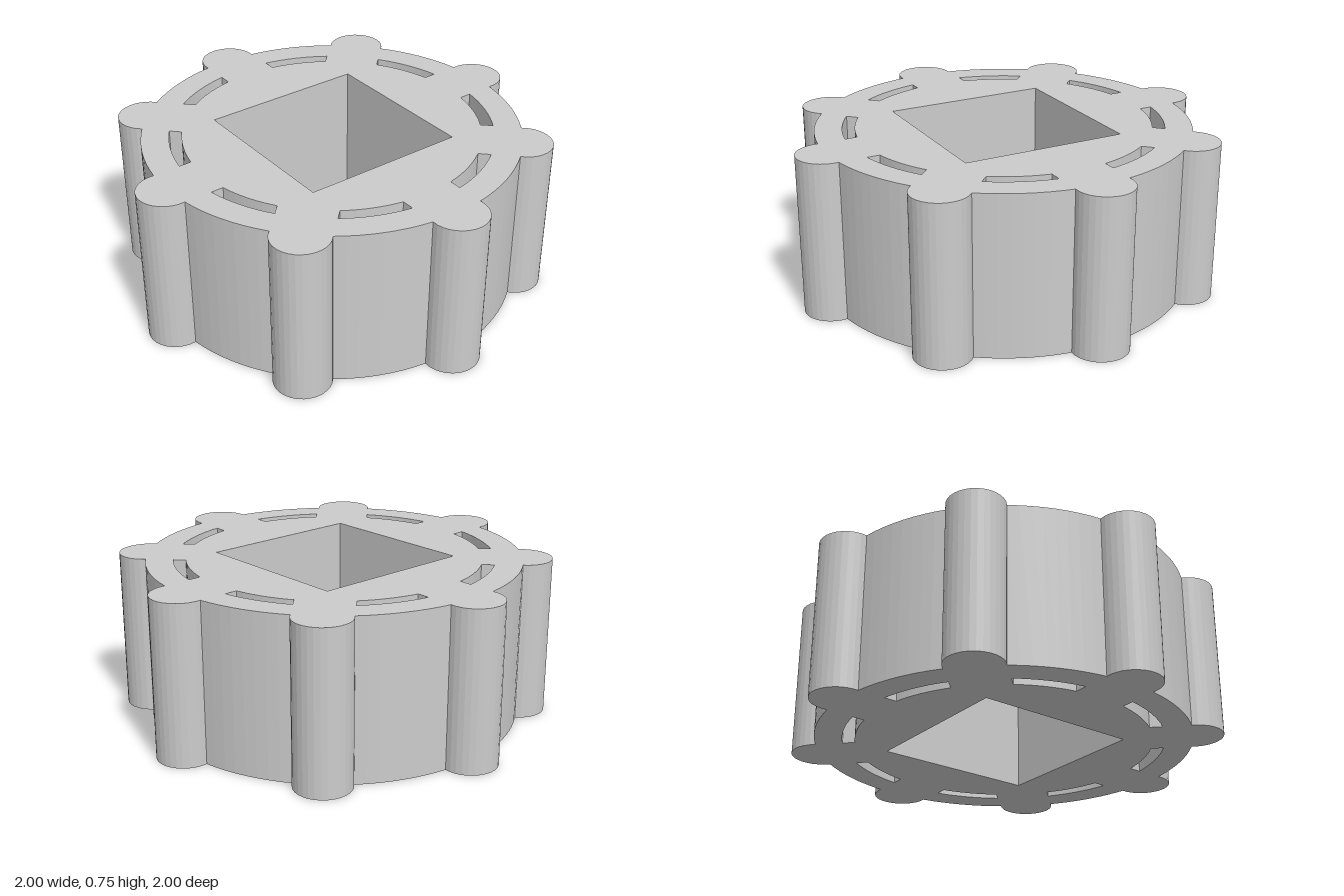
import * as THREE from 'three';

const HEIGHT = 0.745;
const BODY_R = 0.864;               // drum radius
const LOBE_R = 0.13, LOBE_C = 0.87; // grip lobe radius and distance from centre
const SLOT_IN = 0.681, SLOT_OUT = 0.738;
const SPOKE = 0.13;                 // half-width of solid left between slots
const HOLE = 0.387;                 // half-side of the square bore
const STEP = Math.PI / 4;

// Points along an arc, both ends included
function arc(cx, cy, r, from, to, n) {
  return Array.from({ length: n + 1 }, (_, i) => {
    const a = from + (to - from) * i / n;
    return new THREE.Vector2(cx + r * Math.cos(a), cy + r * Math.sin(a));
  });
}

// Drum outline with eight round grip lobes
function outline() {
  const a = Math.acos((BODY_R ** 2 + LOBE_C ** 2 - LOBE_R ** 2) / (2 * BODY_R * LOBE_C));
  const b = Math.atan2(BODY_R * Math.sin(a), BODY_R * Math.cos(a) - LOBE_C);
  const points = [];
  for (let k = 0; k < 8; k++) {
    const t = k * STEP;
    points.push(
      ...arc(LOBE_C * Math.cos(t), LOBE_C * Math.sin(t), LOBE_R, t - b, t + b, 16).slice(0, -1),
      ...arc(0, 0, BODY_R, t + a, t + STEP - a, 8).slice(0, -1));
  }
  return new THREE.Shape(points);
}

// Curved slot between two spokes, its ends parallel to the spokes
function slot(t) {
  const i = Math.asin(SPOKE / SLOT_IN), o = Math.asin(SPOKE / SLOT_OUT);
  return new THREE.Path([
    ...arc(0, 0, SLOT_IN, t + i, t + STEP - i, 8),
    ...arc(0, 0, SLOT_OUT, t + STEP - o, t + o, 8)]);
}

export function createModel() {
  const group = new THREE.Group();
  group.name = 'lobedKnob';

  const shape = outline();
  // Square bore
  shape.holes.push(new THREE.Path([[-1, -1], [-1, 1], [1, 1], [1, -1]]
    .map(([x, y]) => new THREE.Vector2(x * HOLE, y * HOLE))));
  // Ring of slots
  for (let k = 0; k < 8; k++) shape.holes.push(slot(k * STEP));

  const geometry = new THREE.ExtrudeGeometry(shape, { depth: HEIGHT, bevelEnabled: false });
  geometry.rotateX(-Math.PI / 2);
  const body = new THREE.Mesh(geometry,
    new THREE.MeshStandardMaterial({ color: 0xcccccc, flatShading: true }));
  body.name = 'knobBody';
  group.add(body);
  return group;
}
